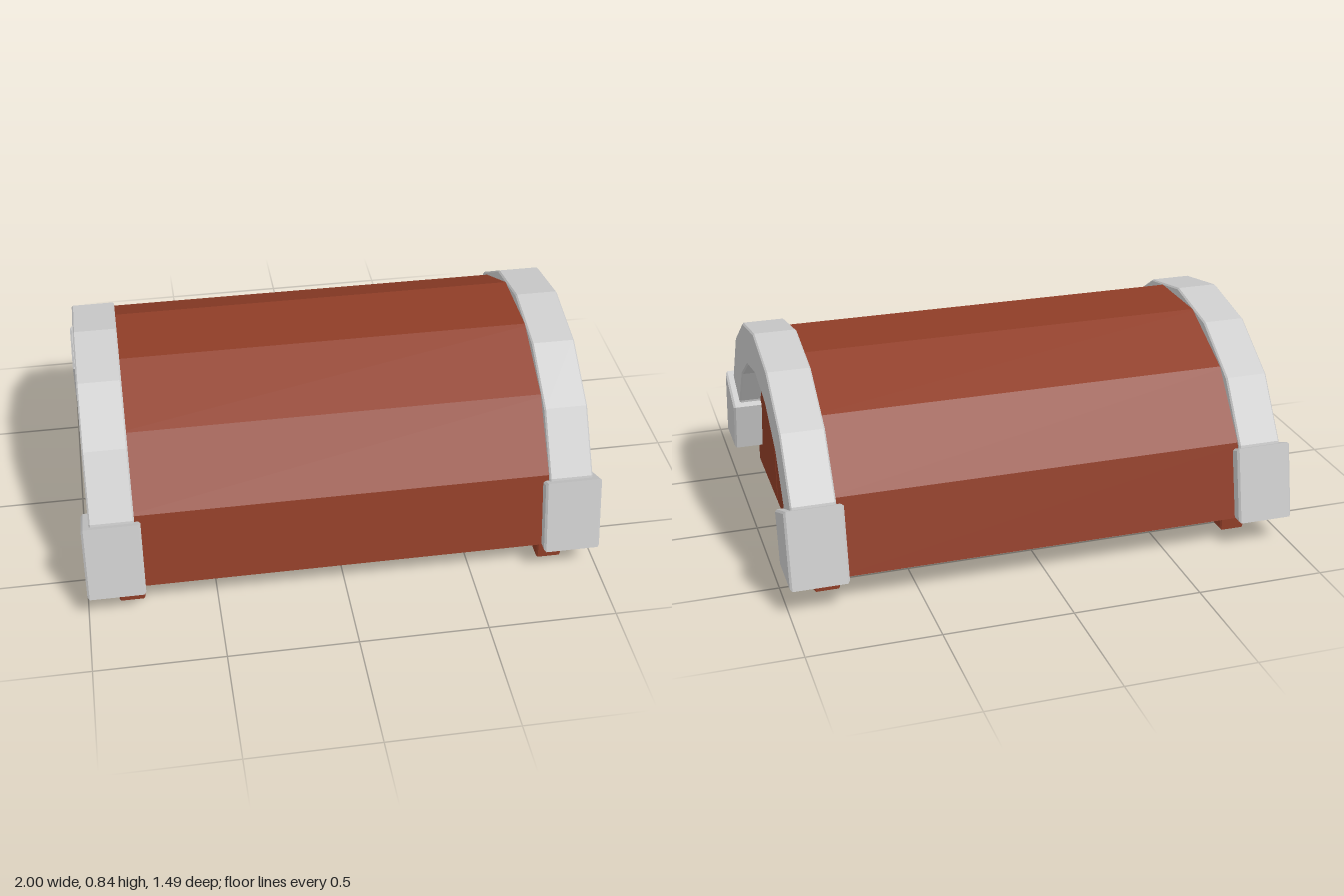
import * as THREE from 'three';

const wood = new THREE.MeshStandardMaterial({ color: 0x8f3d27, flatShading: true });
const metal = new THREE.MeshStandardMaterial({ color: 0xcccccc, flatShading: true });

// Extrudes a [z, y] outline along x from x0 to x1 with a small chamfer.
function slab(name, outline, x0, x1, bevel, material) {
  const shape = new THREE.Shape(outline.map(([z, y]) => new THREE.Vector2(-z, y)));
  const geo = new THREE.ExtrudeGeometry(shape, {
    depth: x1 - x0 - 2 * bevel, bevelEnabled: true, bevelThickness: bevel,
    bevelSize: bevel, bevelOffset: -bevel, bevelSegments: 1,
  });
  geo.rotateY(Math.PI / 2).translate(x0 + bevel, 0, 0);
  const mesh = new THREE.Mesh(geo, material);
  mesh.name = name;
  return mesh;
}

const flip = (pts) => pts.map(([z, y]) => [-z, y]);
// Completes a half profile (front edge up to the crown) with its mirror image.
const arch = (half, crown) => [...half, crown, ...flip(half).reverse()];

export function createModel() {
  const group = new THREE.Group();
  group.name = 'archedLid';

  // Curved roof made of seven long boards
  const outer = [[0.70, 0.12], [0.637, 0.417], [0.44, 0.66], [0.155, 0.80]];
  const inner = [[0.62, 0.12], [0.56, 0.38], [0.39, 0.595], [0.138, 0.725]];
  const outerAll = [...outer, ...flip(outer).reverse()];
  const innerAll = [...inner, ...flip(inner).reverse()];
  for (let i = 0; i < outerAll.length - 1; i++) {
    const section = [outerAll[i], outerAll[i + 1], innerAll[i + 1], innerAll[i]];
    group.add(slab('roofBoard' + (i + 1), section, -0.86, 0.86, 0.008, wood));
  }

  // Upright boards closing each end, slightly shorter at the back
  const endBoards = [
    [[0.64, 0], [0.64, 0.14], [0.55, 0.38], [0.42, 0.56], [0.2, 0.69], [0.2, 0]],
    [[0.198, 0], [0.198, 0.69], [0, 0.73], [-0.132, 0.70], [-0.132, 0]],
    [[-0.135, 0], [-0.135, 0.70], [-0.22, 0.68], [-0.42, 0.56], [-0.55, 0.38], [-0.57, 0.32], [-0.57, 0]],
  ];

  // Faceted hoop and the blocks holding its feet
  const hoop = [
    ...arch([[0.705, 0.2], [0.655, 0.41], [0.503, 0.635], [0.272, 0.784]], [0, 0.837]),
    ...arch([[0.54, 0.2], [0.507, 0.345], [0.388, 0.515], [0.207, 0.63]], [0, 0.67]).reverse(),
  ];
  const foot = [[0.745, 0.117], [0.685, 0.413], [0.485, 0.325], [0.533, 0.117]];

  for (const [side, s] of [['left', 1], ['right', -1]]) {
    const place = (name, pts, a, b, bevel, mat) =>
      group.add(slab(side + name, pts, s > 0 ? a : -b, s > 0 ? b : -a, bevel, mat));
    endBoards.forEach((pts, i) => place('EndBoard' + (i + 1), pts, 0.78, 0.88, 0.006, wood));
    place('Hoop', hoop, 0.798, 0.968, 0.006, metal);
    place('FrontFoot', foot, 0.776, 0.998, 0.008, metal);
    place('BackFoot', flip(foot), 0.776, 0.998, 0.008, metal);
  }
  return group;
}
